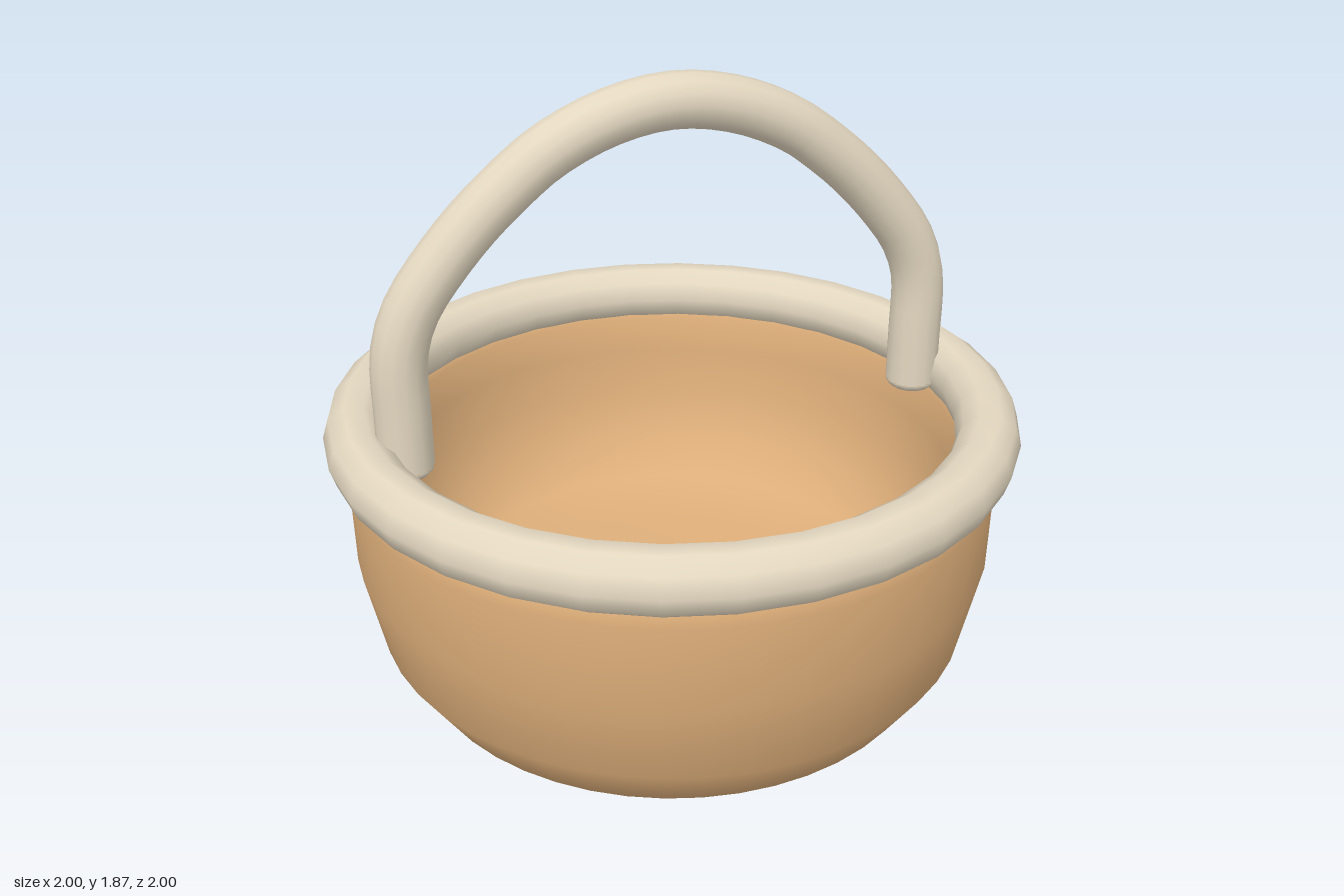
import * as THREE from 'three';

const wicker = new THREE.MeshStandardMaterial({ color: 0xdcad79 });
wicker.name = 'tan wicker';
const cream = new THREE.MeshStandardMaterial({ color: 0xe3d7c0 });
cream.name = 'cream cane';

function addPart(group, name, geometry, material) {
  const mesh = new THREE.Mesh(geometry, material);
  mesh.name = name;
  group.add(mesh);
  return mesh;
}

export function createModel() {
  const basket = new THREE.Group();
  basket.name = 'basket';

  // Bowl: thick wall turned from one profile, up the outside and down to a raised, dished floor
  const profile = [
    [0, 0], [0.4, 0.005], [0.61, 0.025], [0.78, 0.085], [0.88, 0.235],
    [0.935, 0.49], [0.94, 0.74], [0.915, 0.8], [0.87, 0.82], [0.835, 0.79],
    [0.825, 0.68], [0.805, 0.54], [0.755, 0.39], [0.65, 0.285], [0.45, 0.235], [0, 0.22],
  ].map(([r, y]) => new THREE.Vector2(r, y));
  addPart(basket, 'bowl', new THREE.LatheGeometry(profile, 48), wicker);

  // Rim: thick ring lying on the bowl's edge
  const rim = addPart(basket, 'rim', new THREE.TorusGeometry(0.909, 0.091, 10, 32), cream);
  rim.rotation.x = -Math.PI / 2;
  rim.position.y = 0.863;

  // Handle: mirrored half arch swept as a tube
  const half = [
    [0.787, 0.84], [0.787, 1.0], [0.787, 1.14], [0.772, 1.225], [0.735, 1.31],
    [0.67, 1.4], [0.57, 1.512], [0.46, 1.61], [0.35, 1.69], [0.18, 1.763],
  ];
  const arch = [
    ...half.map(([x, y]) => new THREE.Vector3(-x, y, 0)),
    new THREE.Vector3(0, 1.791, 0),
    ...half.map(([x, y]) => new THREE.Vector3(x, y, 0)).reverse(),
  ];
  const curve = new THREE.CatmullRomCurve3(arch);
  addPart(basket, 'handle', new THREE.TubeGeometry(curve, 48, 0.078, 14), cream);

  // Low domes closing the handle legs
  for (const side of [-1, 1]) {
    const dome = new THREE.SphereGeometry(0.078, 14, 5, 0, Math.PI * 2, Math.PI / 2, Math.PI / 2);
    const end = addPart(basket, 'handleEnd', dome, cream);
    end.scale.y = 0.5;
    end.position.set(side * 0.787, 0.84, 0);
  }

  return basket;
}
